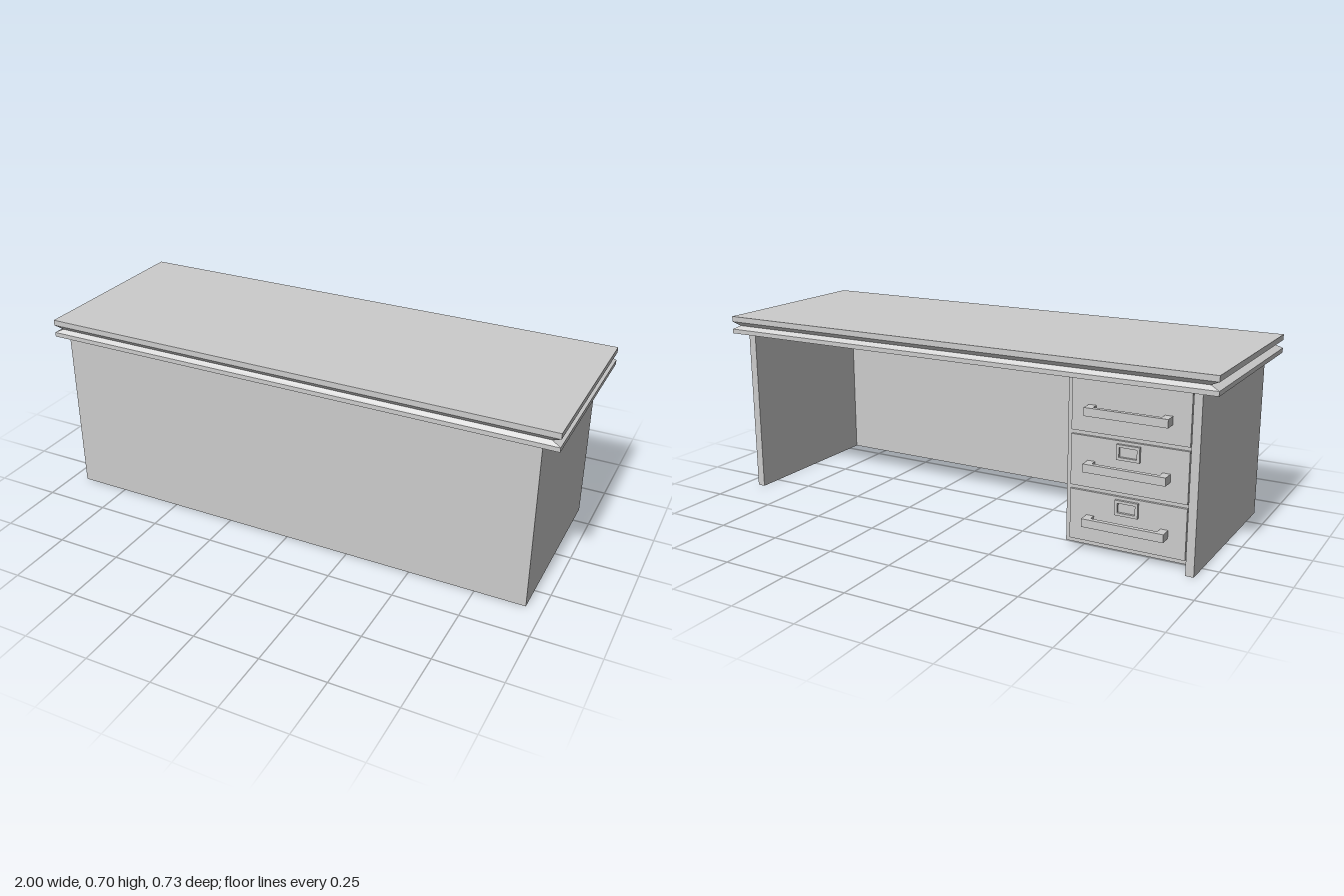
import * as THREE from 'three';

const material = new THREE.MeshStandardMaterial({ color: 0xcccccc, flatShading: true });

// Box given by its min and max corners
function box(parent, name, [x0, y0, z0], [x1, y1, z1]) {
  const mesh = new THREE.Mesh(new THREE.BoxGeometry(x1 - x0, y1 - y0, z1 - z0), material);
  mesh.position.set((x0 + x1) / 2, (y0 + y1) / 2, (z0 + z1) / 2);
  mesh.name = name;
  parent.add(mesh);
  return mesh;
}

// Desktop: four-sided profile sweep with a V groove around the rim
function makeDesktop() {
  const profile = [[0, 0.636], [1, 0.636], [1, 0.653], [0.968, 0.668], [1, 0.683], [1, 0.704], [0, 0.704]]
    .map(([r, y]) => new THREE.Vector2(r * Math.SQRT2, y));
  const geometry = new THREE.LatheGeometry(profile, 4, Math.PI / 4).scale(1, 1, 0.363);
  const flat = geometry.toNonIndexed();
  flat.computeVertexNormals();
  const mesh = new THREE.Mesh(flat, material);
  mesh.name = 'desktop';
  return mesh;
}

// Rectangular label frame with an open middle
function makeLabelFrame(w, h, border, depth) {
  const rect = (Type, a, b) => new Type([[-a, -b], [a, -b], [a, b], [-a, b]]
    .map(([x, y]) => new THREE.Vector2(x, y)));
  const shape = rect(THREE.Shape, w / 2, h / 2);
  shape.holes.push(rect(THREE.Path, w / 2 - border, h / 2 - border));
  const mesh = new THREE.Mesh(
    new THREE.ExtrudeGeometry(shape, { depth, bevelEnabled: false }), material);
  mesh.name = 'labelFrame';
  return mesh;
}

// Drawer centred on x = 0, y = 0, its front facing -z from z = 0
function makeDrawer(width, height, hasLabel) {
  const drawer = new THREE.Group();
  drawer.name = 'drawer';
  const face = -0.01;
  box(drawer, 'drawerFront', [-width / 2, -height / 2, face], [width / 2, height / 2, 0.01]);

  // Handle: two posts and a bar
  const y0 = -0.025, y1 = 0.005, reach = face - 0.045;
  for (const side of [-1, 1]) {
    const x = side * 0.137;
    box(drawer, 'handlePost', [x - 0.014, y0, reach + 0.018], [x + 0.014, y1, face]);
  }
  box(drawer, 'handleBar', [-0.151, y0, reach], [0.151, y1, reach + 0.018]);

  if (hasLabel) {
    const frame = makeLabelFrame(0.085, 0.055, 0.01, 0.01);
    frame.position.set(0, height / 2 - 0.038, face - 0.01);
    drawer.add(frame);
  }
  return drawer;
}

export function createModel() {
  const desk = new THREE.Group();
  desk.name = 'desk';
  desk.add(makeDesktop());

  // Panels: closed front, two sides, open back
  box(desk, 'frontPanel', [-0.94, 0, 0.3], [0.94, 0.636, 0.35]);
  box(desk, 'leftPanel', [0.91, 0, -0.336], [0.94, 0.636, 0.3]);
  box(desk, 'rightPanel', [-0.94, 0, -0.336], [-0.91, 0.636, 0.3]);

  // Drawer pedestal with three stacked drawers
  const cabinet = new THREE.Group();
  cabinet.name = 'drawerCabinet';
  box(cabinet, 'cabinetBody', [-0.91, 0.018, -0.285], [-0.445, 0.636, 0.3]);
  for (let i = 0; i < 3; i++) {
    const drawer = makeDrawer(0.43, 0.185, i < 2);
    drawer.position.set(-0.6775, 0.127 + i * 0.2, -0.285);
    cabinet.add(drawer);
  }
  desk.add(cabinet);
  return desk;
}
